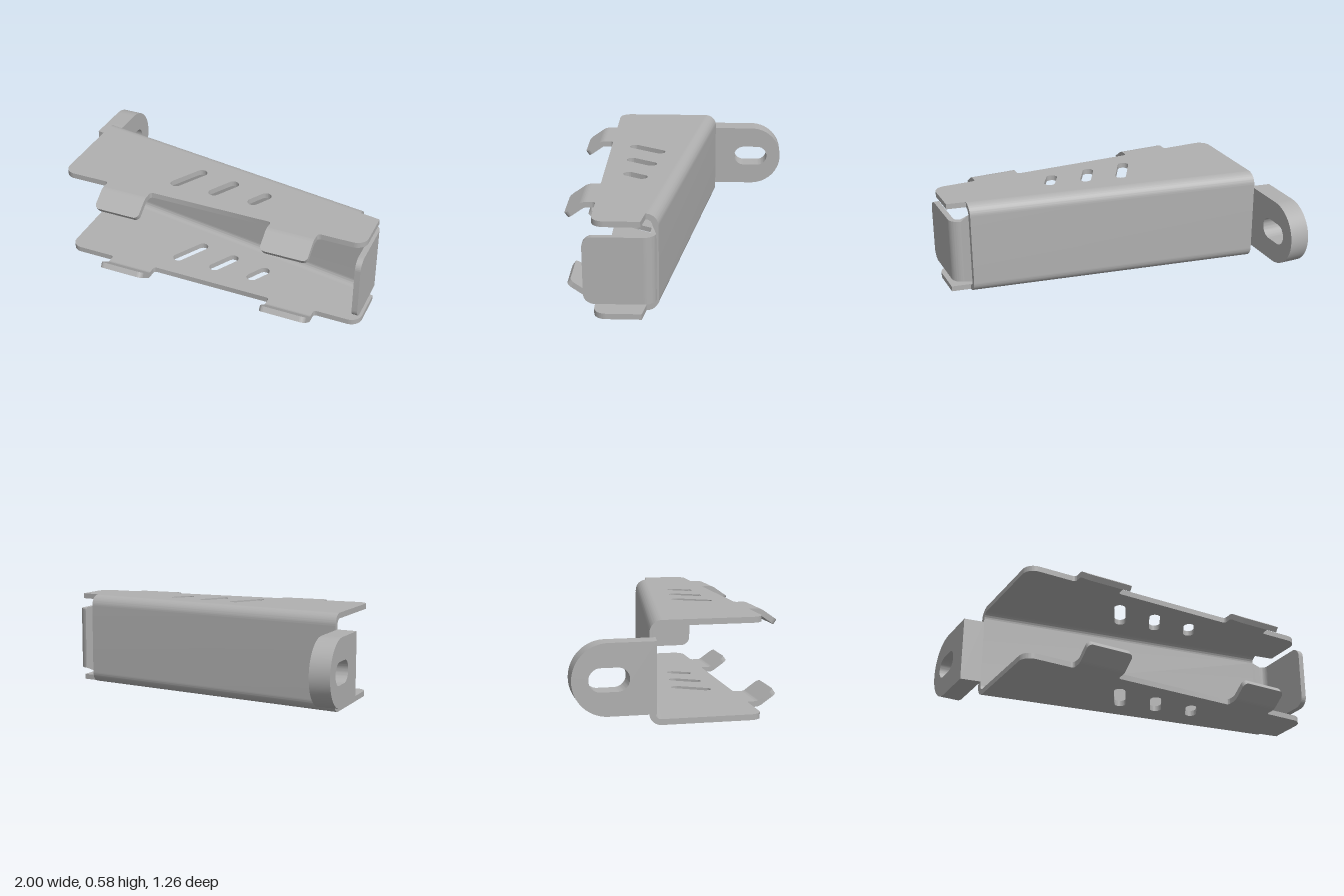
import * as THREE from 'three';
import { toCreasedNormals } from 'three/addons/utils/BufferGeometryUtils.js';

const H = 0.578, T = 0.033, R = 0.07, r = R - T; // height, sheet thickness, bend radii
const MID = H / 2, HALF = 0.197;                 // middle height, half height of lug and flange
const X0 = -0.88, X1 = 0.885, FRONT = 0.455;
const SLOPE = 0.164, THETA = Math.atan(SLOPE);
const back = x => -0.19 + SLOPE * (x - X0);      // slanted line of the outer wall face

const extrude = (shape, depth) =>
  new THREE.ExtrudeGeometry(shape, { depth, bevelEnabled: false, curveSegments: 14 });
// shape drawn in (z, y), running from xa to xb
const extrudeX = (shape, xa, xb) => extrude(shape, xb - xa).rotateY(-Math.PI / 2).translate(xb, 0, 0);
// shape drawn in (x, z), running from ya to yb
const extrudeY = (shape, ya, yb) => extrude(shape, yb - ya).rotateX(Math.PI / 2).translate(0, yb, 0);

function moveVertices(geo, rule) {
  const p = geo.attributes.position, v = new THREE.Vector3();
  for (let i = 0; i < p.count; i++) {
    rule(v.fromBufferAttribute(p, i));
    p.setXYZ(i, v.x, v.y, v.z);
  }
  return geo;
}

// rounded slot between two centres
function slot(ax, ay, bx, by, rad) {
  const a = Math.atan2(by - ay, bx - ax), q = Math.PI / 2;
  const p = new THREE.Path();
  p.absarc(bx, by, rad, a - q, a + q, false);
  p.absarc(ax, ay, rad, a + q, a + 3 * q, false);
  p.closePath();
  return p;
}

const TABS = [[-0.58, -0.30], [0.45, 0.73]];
const TAB_BEND = 0.505;

// flat side plate with tab roots and three slanted slots
function plateShape() {
  const s = new THREE.Shape(), c = 0.07, f = 0.02;
  s.moveTo(X0, back(X0) + R);
  s.lineTo(X0, FRONT - c);
  s.absarc(X0 + c, FRONT - c, c, Math.PI, Math.PI / 2, true);
  for (const [a, b] of TABS) {
    s.lineTo(a - f, FRONT);
    s.quadraticCurveTo(a, FRONT, a, FRONT + f);
    s.lineTo(a, TAB_BEND);
    s.lineTo(b, TAB_BEND);
    s.lineTo(b, FRONT + f);
    s.quadraticCurveTo(b, FRONT, b + f, FRONT);
  }
  s.lineTo(1 - c, FRONT);
  s.absarc(1 - c, FRONT - c, c, Math.PI / 2, 0, true);
  s.lineTo(1, back(1) + R);
  s.closePath();
  for (const [x, len] of [[-0.207, 0.184], [0.037, 0.139], [0.283, 0.092]])
    s.holes.push(slot(x, 0.307, x + len * 0.5, 0.307 - len * 0.866, 0.033));
  return s;
}

// back wall with the bends into both plates
function channelGeometry() {
  const s = new THREE.Shape(), PI = Math.PI;
  s.moveTo(R, 0);
  s.absarc(R, R, R, -PI / 2, -PI, true);
  s.lineTo(0, H - R);
  s.absarc(R, H - R, R, PI, PI / 2, true);
  s.lineTo(R, H - T);
  s.absarc(R, H - R, r, PI / 2, PI, false);
  s.lineTo(T, R);
  s.absarc(R, R, r, PI, 1.5 * PI, false);
  s.closePath();
  return moveVertices(extrudeX(s, X0, X1), v => { v.z += back(v.x); });
}

// narrow strip that carries the wall round the corner
function cornerGeometry() {
  const s = new THREE.Shape(), cx = 1 - R, cz = back(cx) + R / Math.cos(THETA);
  const a = THETA - Math.PI / 2;
  s.moveTo(X1, back(X1));
  s.absarc(cx, cz, R, a, 0, false);
  s.lineTo(1 - T, cz);
  s.absarc(cx, cz, r, 0, a, true);
  s.lineTo(X1, back(X1) + T);
  s.closePath();
  return moveVertices(extrudeY(s, MID - HALF, MID + HALF), v => {
    if (v.x < 0.9) v.y = MID + Math.sign(v.y - MID) * 0.22;
  });
}

function flangeGeometry() {
  const s = new THREE.Shape(), z0 = back(1 - R) + R / Math.cos(THETA), z1 = 0.505, c = 0.06;
  const lo = MID - HALF, hi = MID + HALF;
  s.moveTo(z0, lo);
  s.lineTo(z1 - c, lo);
  s.absarc(z1 - c, lo + c, c, -Math.PI / 2, 0, false);
  s.absarc(z1 - c, hi - c, c, 0, Math.PI / 2, false);
  s.lineTo(z0, hi);
  s.closePath();
  return extrudeX(s, 1 - T, 1);
}

// thick lug with a round end and a slot; its inner end follows the wall
function lugGeometry() {
  const s = new THREE.Shape(), zc = -0.632 + HALF, zEnd = -0.155;
  s.moveTo(zEnd, MID - HALF);
  s.lineTo(zEnd, MID + HALF);
  s.lineTo(zc, MID + HALF);
  s.absarc(zc, MID, HALF, Math.PI / 2, 1.5 * Math.PI, false);
  s.closePath();
  s.holes.push(slot(-0.476, MID, -0.384, MID, 0.065));
  return moveVertices(extrudeX(s, -1, X0), v => {
    if (v.z > -0.2) v.z += SLOPE * (v.x - X0);
  });
}

// bent part and sloping tip of a tab, centred on x = 0
const BEND = THREE.MathUtils.degToRad(35);
function tabBendGeometry(w) {
  const s = new THREE.Shape(), q = Math.PI / 2, yc = H - R;
  s.absarc(TAB_BEND, yc, R, q, q - BEND, true);
  s.absarc(TAB_BEND, yc, r, q - BEND, q, false);
  s.closePath();
  return extrudeX(s, -w / 2, w / 2);
}
function tabTipGeometry(w) {
  const s = new THREE.Shape(), h = w / 2, L = 0.106, c = 0.03;
  s.moveTo(-h, 0);
  s.lineTo(h, 0);
  s.absarc(h - c, L - c, c, 0, Math.PI / 2, false);
  s.absarc(-h + c, L - c, c, Math.PI / 2, Math.PI, false);
  s.closePath();
  return extrudeY(s, -T, 0).rotateX(BEND)
    .translate(0, H - R + R * Math.cos(BEND), TAB_BEND + R * Math.sin(BEND));
}

export function createModel() {
  const steel = new THREE.MeshStandardMaterial({ color: 0xb0b0b0 });
  steel.name = 'steelGrey';
  const model = new THREE.Group();
  model.name = 'bracket';
  const add = (name, geo, parent = model) => {
    const mesh = new THREE.Mesh(toCreasedNormals(geo, 0.5), steel);
    mesh.name = name;
    parent.add(mesh);
  };

  add('backWall', channelGeometry());
  add('topPlate', extrudeY(plateShape(), H - T, H));
  add('bottomPlate', extrudeY(plateShape(), 0, T));
  add('cornerBend', cornerGeometry());
  add('endFlange', flangeGeometry());
  add('mountingLug', lugGeometry());

  // tabs on both plates; a half turn about z gives the lower ones
  for (const [a, b] of TABS) {
    for (const lower of [false, true]) {
      const tab = new THREE.Group();
      tab.name = lower ? 'lowerTab' : 'upperTab';
      add('tabBend', tabBendGeometry(b - a), tab);
      add('tabTip', tabTipGeometry(b - a), tab);
      tab.position.set((a + b) / 2, lower ? H : 0, 0);
      if (lower) tab.rotation.z = Math.PI;
      model.add(tab);
    }
  }
  return model;
}
